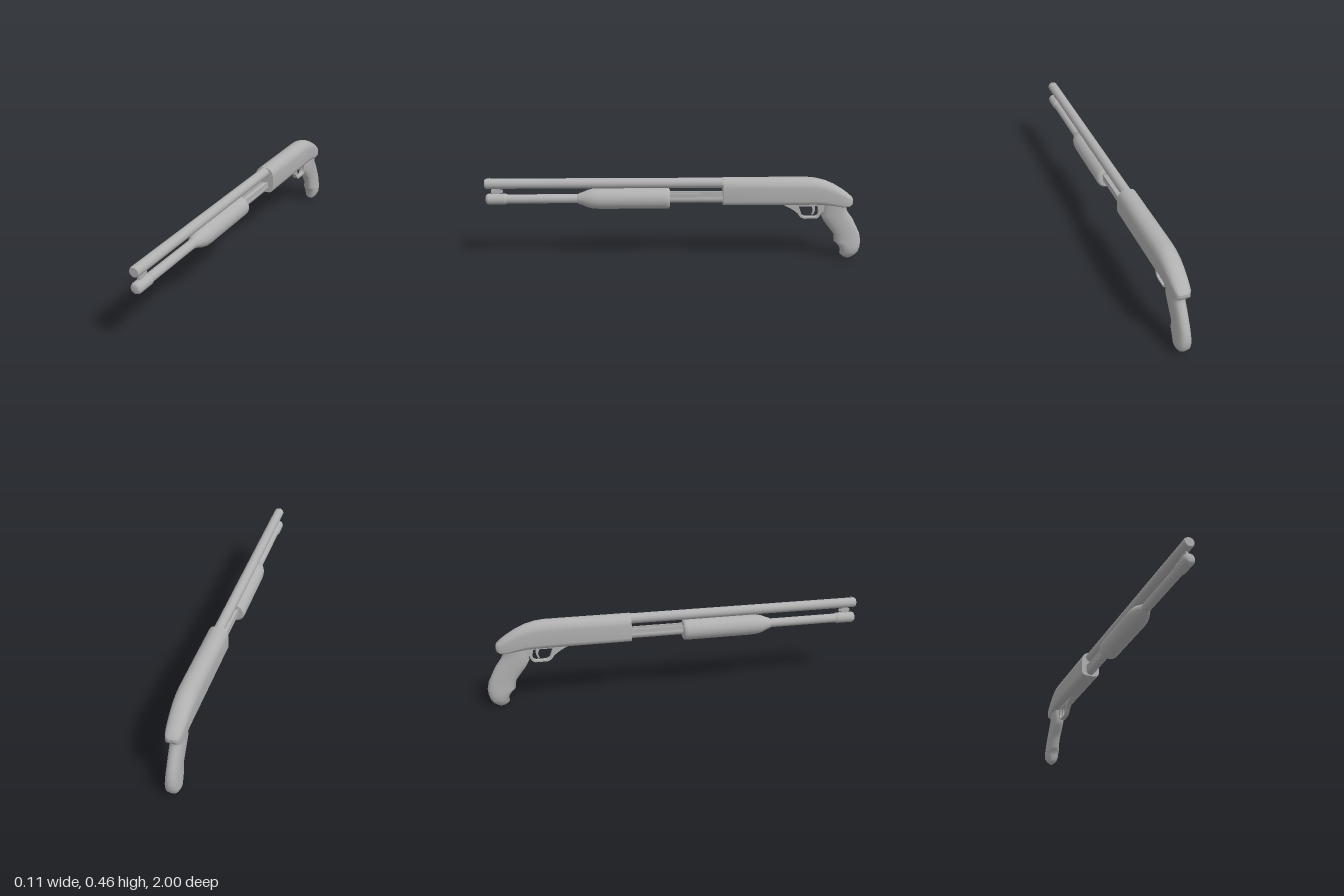
import * as THREE from 'three';

const steel = new THREE.MeshStandardMaterial({ color: 0xb0b0b0 });
steel.name = 'grey';

// Skin a list of closed rings (equal point counts) and close both ends with flat caps.
function loft(rings) {
  const n = rings[0].length, pos = [], idx = [];
  rings.forEach(r => r.forEach(p => pos.push(p.x, p.y, p.z)));
  for (let i = 0; i < rings.length - 1; i++) {
    for (let j = 0; j < n; j++) {
      const k = (j + 1) % n;
      const a = i * n + j, b = i * n + k, d = a + n, c = b + n;
      idx.push(a, d, b, b, d, c);
    }
  }
  [[rings[0], false], [rings[rings.length - 1], true]].forEach(([ring, flip]) => {
    const base = pos.length / 3;
    const mid = ring.reduce((s, p) => s.add(p), new THREE.Vector3()).divideScalar(n);
    [mid, ...ring].forEach(p => pos.push(p.x, p.y, p.z));
    for (let j = 0; j < n; j++) {
      const a = base + 1 + j, b = base + 1 + (j + 1) % n;
      idx.push(base, flip ? b : a, flip ? a : b);
    }
  });
  const g = new THREE.BufferGeometry();
  g.setAttribute('position', new THREE.Float32BufferAttribute(pos, 3));
  g.setIndex(idx);
  g.computeVertexNormals();
  return g;
}

// Lathe along z: profile points are [radius, z], listed from back to front.
function turned(profile, y, segments = 28) {
  const g = new THREE.LatheGeometry(profile.map(([r, z]) => new THREE.Vector2(r, z)), segments);
  g.rotateX(Math.PI / 2);
  g.translate(0, y, 0);
  return g;
}

// Side-on outline in (z, y) extruded across x.
function sidePlate(shape, width, x) {
  const g = new THREE.ExtrudeGeometry(shape, { depth: width, bevelEnabled: false, curveSegments: 8 });
  g.translate(0, 0, -width / 2);
  g.rotateY(-Math.PI / 2);
  g.translate(x, 0, 0);
  return g;
}

export function createModel() {
  const group = new THREE.Group();
  const add = (name, geometry) => {
    const m = new THREE.Mesh(geometry, steel);
    m.name = name;
    group.add(m);
    return m;
  };
  const barrelY = 0.426, tubeY = 0.342;

  // Barrel with a slightly rounded muzzle
  add('barrel', turned([[0.027, -0.26], [0.027, 0.992], [0.027, 0.992], [0.023, 1], [0.023, 1], [0, 1]], barrelY));

  // Magazine tube and its end cap
  add('magazineTube', turned([[0.024, -0.26], [0.024, 0.92]], tubeY));
  add('magazineCap', turned([[0.024, 0.885], [0.029, 0.9], [0.029, 0.9], [0.029, 0.985],
    [0.029, 0.985], [0.024, 0.996], [0.015, 1], [0, 1]], tubeY));

  // Bead sight and the lug between barrel and tube
  const bead = add('beadSight', new THREE.SphereGeometry(0.005, 10, 8));
  bead.position.set(0, 0.454, 0.975);
  const lug = add('barrelLug', new THREE.BoxGeometry(0.008, 0.05, 0.035));
  lug.position.set(0, 0.385, 0.945);
  const lugFoot = add('barrelLugFoot', new THREE.BoxGeometry(0.012, 0.014, 0.06));
  lugFoot.position.set(0, 0.385, 0.94);

  // Sliding forend with a tapered nose
  add('forend', turned([[0, 0.03], [0.045, 0.03], [0.045, 0.03], [0.054, 0.036], [0.055, 0.05],
    [0.055, 0.4], [0.053, 0.435], [0.046, 0.465], [0.035, 0.49], [0.029, 0.51], [0.024, 0.515]], tubeY, 32));

  // Slide bars running from forend to receiver
  [-1, 1].forEach(s => {
    const bar = add('slideBar', new THREE.BoxGeometry(0.006, 0.022, 0.32));
    bar.position.set(s * 0.021, 0.362, -0.11);
  });

  // Receiver: arched section, sloping down at the rear
  const half = [[0, 0], [0.6, 0.01], [0.88, 0.06], [1, 0.18], [1, 0.66],
    [0.9, 0.81], [0.65, 0.93], [0.3, 0.985], [0, 1]];
  const outline = [...half, ...half.slice(1, -1).reverse().map(([u, v]) => [-u, v])];
  const receiver = [ // z, top, bottom, half width
    [-0.25, 0.455, 0.31, 0.052], [-0.5, 0.455, 0.31, 0.052], [-0.69, 0.455, 0.31, 0.052],
    [-0.74, 0.45, 0.31, 0.0515], [-0.79, 0.437, 0.308, 0.05], [-0.84, 0.415, 0.3, 0.047],
    [-0.89, 0.384, 0.292, 0.043], [-0.92, 0.361, 0.294, 0.038], [-0.937, 0.345, 0.306, 0.03],
    [-0.942, 0.335, 0.32, 0.015]];
  add('receiver', loft(receiver.map(([z, top, bottom, w]) =>
    outline.map(([u, v]) => new THREE.Vector3(u * w, bottom + v * (top - bottom), z)))));

  // Pistol grip with finger swells: front z, y / back z, y / half width
  const grip = [
    [-0.787, 0.325, -0.915, 0.325, 0.036], [-0.787, 0.285, -0.91, 0.288, 0.035],
    [-0.776, 0.245, -0.92, 0.262, 0.035], [-0.795, 0.21, -0.948, 0.225, 0.034],
    [-0.823, 0.174, -0.973, 0.177, 0.034], [-0.852, 0.137, -0.991, 0.14, 0.034],
    [-0.856, 0.096, -1, 0.1, 0.037], [-0.876, 0.078, -0.998, 0.07, 0.039],
    [-0.894, 0.05, -0.99, 0.042, 0.039], [-0.892, 0.024, -0.974, 0.02, 0.029],
    [-0.91, 0.008, -0.955, 0.007, 0.016], [-0.925, 0.001, -0.945, 0, 0.006]];
  add('grip', loft(grip.map(([fz, fy, bz, by, w]) => Array.from({ length: 20 }, (_, i) => {
    const t = i / 20 * Math.PI * 2, c = Math.cos(t), s = Math.sin(t);
    const f = (1 - s) / 2;
    return new THREE.Vector3(w * Math.sign(c) * Math.abs(c) ** 0.75, by + (fy - by) * f, bz + (fz - bz) * f);
  }))));

  // Trigger guard plate with an open bow
  const guard = new THREE.Shape();
  guard.moveTo(-0.565, 0.315);
  guard.lineTo(-0.575, 0.304);
  guard.quadraticCurveTo(-0.62, 0.285, -0.65, 0.258);
  guard.quadraticCurveTo(-0.668, 0.228, -0.69, 0.228);
  guard.lineTo(-0.745, 0.228);
  guard.quadraticCurveTo(-0.768, 0.23, -0.775, 0.262);
  guard.lineTo(-0.8, 0.27);
  guard.lineTo(-0.8, 0.315);
  const bow = new THREE.Path();
  bow.moveTo(-0.655, 0.298);
  bow.lineTo(-0.755, 0.298);
  bow.quadraticCurveTo(-0.772, 0.24, -0.742, 0.237);
  bow.lineTo(-0.695, 0.237);
  bow.quadraticCurveTo(-0.672, 0.24, -0.668, 0.262);
  guard.holes.push(bow);
  add('triggerGuard', sidePlate(guard, 0.025, 0.0035));

  // Curved trigger
  const trigger = new THREE.Shape();
  trigger.moveTo(-0.715, 0.305);
  trigger.quadraticCurveTo(-0.742, 0.275, -0.725, 0.248);
  trigger.lineTo(-0.732, 0.248);
  trigger.quadraticCurveTo(-0.752, 0.275, -0.738, 0.305);
  add('trigger', sidePlate(trigger, 0.01, 0.0035));

  return group;
}
